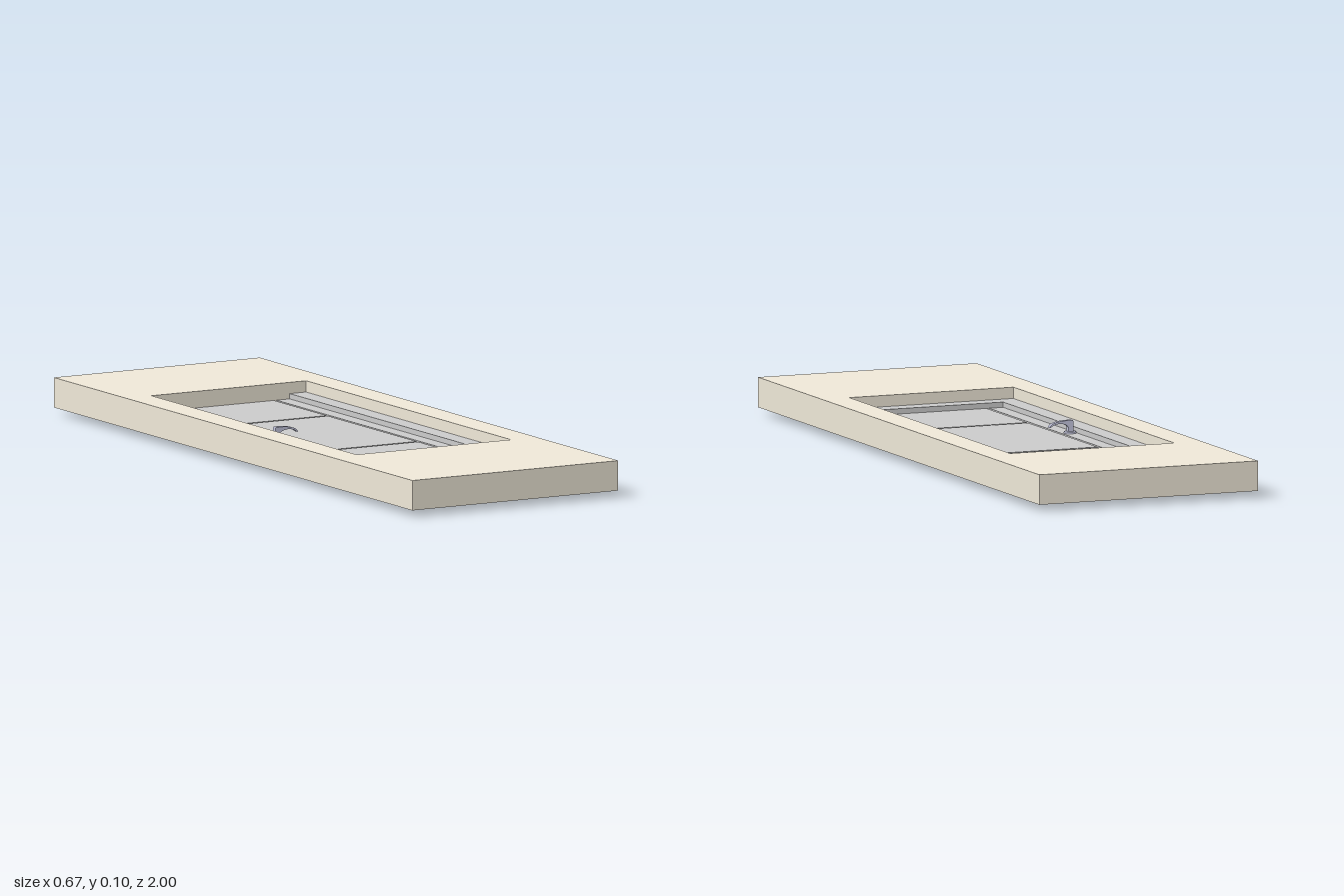
import * as THREE from 'three';

const wallMat = new THREE.MeshStandardMaterial({ color: 0xf0e9d9 });
const doorMat = new THREE.MeshStandardMaterial({ color: 0xc8c8c8 });
const metalMat = new THREE.MeshStandardMaterial({ color: 0xc6c8e0 });

// Box given by its limits on each axis
function slab(name, mat, [x0, x1], [y0, y1], [z0, z1]) {
  const mesh = new THREE.Mesh(new THREE.BoxGeometry(x1 - x0, y1 - y0, z1 - z0), mat);
  mesh.position.set((x0 + x1) / 2, (y0 + y1) / 2, (z0 + z1) / 2);
  mesh.name = name;
  return mesh;
}

// Outline in (x, z), with an optional hole, extruded up from y0 to y1
function plate(name, mat, outline, hole, y0, y1) {
  const toPoints = (pts) => pts.map(([x, z]) => new THREE.Vector2(x, -z));
  const shape = new THREE.Shape(toPoints(outline));
  // The hole runs opposite to the outline so its walls face inwards
  if (hole) shape.holes.push(new THREE.Path(toPoints(hole).reverse()));
  const geo = new THREE.ExtrudeGeometry(shape, { depth: y1 - y0, bevelEnabled: false });
  geo.rotateX(-Math.PI / 2).translate(0, y0, 0);
  const mesh = new THREE.Mesh(geo, mat);
  mesh.name = name;
  return mesh;
}

const rect = (x, z0, z1) => [[-x, z0], [x, z0], [x, z1], [-x, z1]];

// Rosette, neck and curved lever; local y points away from the door
function makeHandle(name) {
  const handle = new THREE.Group();
  handle.name = name;

  const rosette = new THREE.Mesh(new THREE.CylinderGeometry(0.017, 0.018, 0.005, 24), metalMat);
  rosette.position.y = 0.0025;
  rosette.name = 'rosette';

  const s = new THREE.Shape();
  s.moveTo(-0.008, 0);
  s.lineTo(0.007, 0);
  s.lineTo(0.007, 0.016);
  s.bezierCurveTo(0.013, 0.032, 0.05, 0.032, 0.063, 0.018);
  s.lineTo(0.065, 0.019);
  s.bezierCurveTo(0.061, 0.034, 0.03, 0.037, -0.004, 0.037);
  s.quadraticCurveTo(-0.007, 0.037, -0.007, 0.033);
  s.closePath();
  const leverGeo = new THREE.ExtrudeGeometry(s, { depth: 0.014, bevelEnabled: false, curveSegments: 10 });
  leverGeo.translate(0, 0, -0.007);
  const lever = new THREE.Mesh(leverGeo, metalMat);
  lever.name = 'lever';

  handle.add(rosette, lever);
  return handle;
}

export function createModel() {
  const model = new THREE.Group();
  model.name = 'doorInWall';
  const foot = -0.598, head = 0.494, side = 0.197;

  // Wall lying flat with the doorway cut through
  model.add(plate('wall', wallMat, rect(0.333, -1, 1), rect(0.25, foot, 0.545), 0.019, 0.104));

  // Frame: two jambs and a head, open at the floor end
  model.add(plate('frame', doorMat, [
    [-0.25, foot], [-side, foot], [-side, head], [side, head],
    [side, foot], [0.25, foot], [0.25, 0.545], [-0.25, 0.545],
  ], null, 0.035, 0.072));

  // Door: a thin core with raised boards that leave grooves on both faces
  const door = new THREE.Group();
  door.name = 'door';
  const low = 0.037, high = 0.057, cut = 0.005, half = 0.004, groove = 0.15;
  door.add(slab('core', doorMat, [-side, side], [low + cut, high - cut], [foot, head]));
  const rows = [foot, -0.3, 0.202, head];
  for (const [face, y] of [['Lower', [low, low + cut]], ['Upper', [high - cut, high]]]) {
    door.add(slab('stile' + face, doorMat, [-side, -groove - half], y, [foot, head]));
    door.add(slab('stile' + face, doorMat, [groove + half, side], y, [foot, head]));
    for (let i = 0; i < 3; i++) {
      const z0 = rows[i] + (i > 0 ? half : 0);
      const z1 = rows[i + 1] - (i < 2 ? half : 0);
      door.add(slab('panel' + face, doorMat, [-groove + half, groove - half], y, [z0, z1]));
    }
  }
  model.add(door);

  // A handle on each face
  const upper = makeHandle('upperHandle');
  upper.position.set(-0.179, high, -0.023);
  const lower = makeHandle('lowerHandle');
  lower.rotation.x = Math.PI;
  lower.position.set(-0.179, low, -0.023);
  model.add(upper, lower);

  return model;
}
